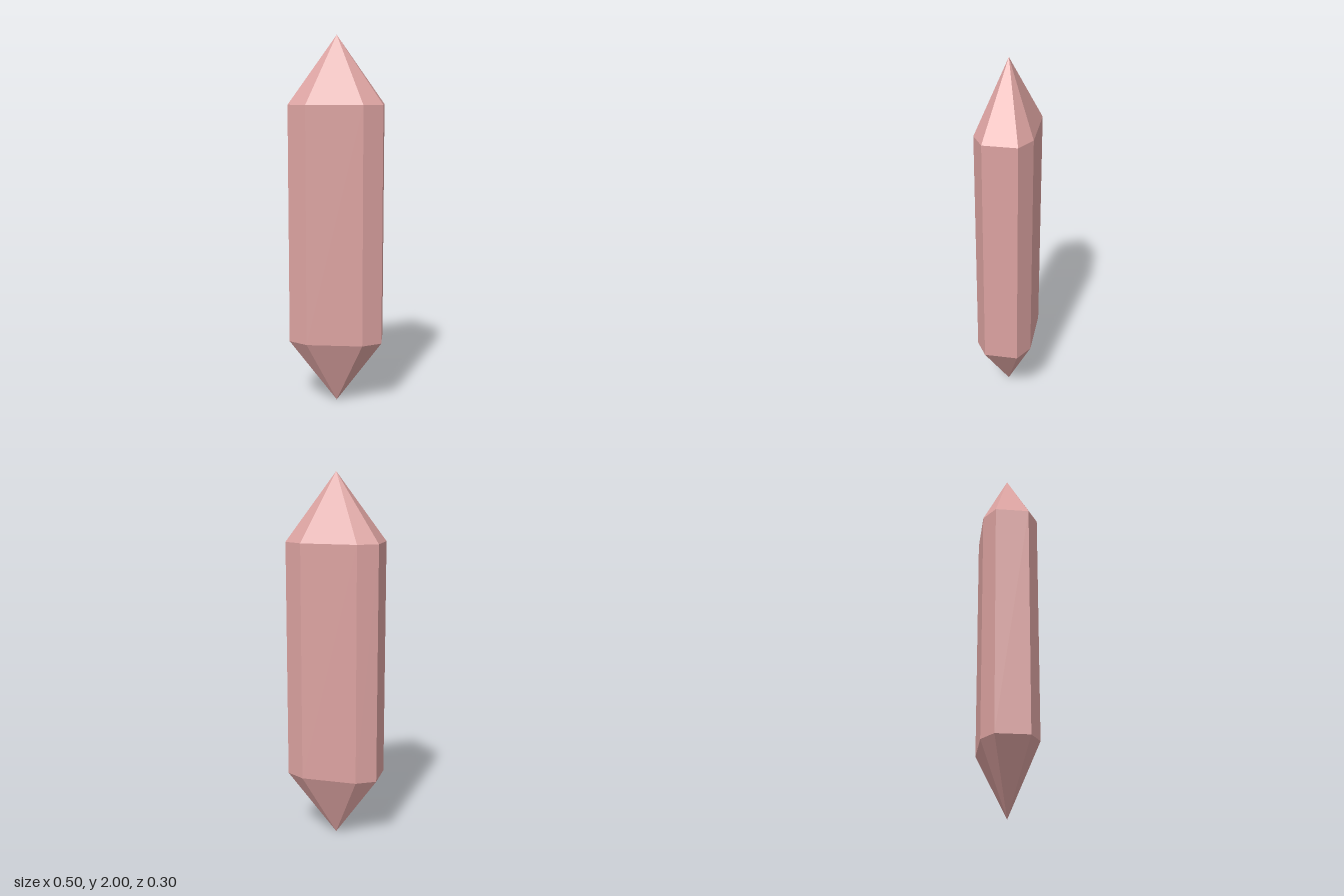
import * as THREE from 'three';

// Elongated eight-sided outline (x, z), going round from +x towards +z
const quarter = [[0.25, 0.09], [0.15, 0.15]];
const half = [...quarter, ...quarter.map(([x, z]) => [-x, z]).reverse()];
const outline = [...half, ...half.map(([x, z]) => [-x, -z])];

// Faceted band between two scaled copies of the outline; scale 0 gives a point
function facetBand(y0, s0, y1, s1) {
  const positions = [];
  outline.forEach((a, i) => {
    const b = outline[(i + 1) % outline.length];
    const low = ([x, z]) => [x * s0, y0, z * s0];
    const high = ([x, z]) => [x * s1, y1, z * s1];
    if (s0 > 0) positions.push(...low(b), ...low(a), ...high(a));
    if (s1 > 0) positions.push(...low(b), ...high(a), ...high(b));
    else return;
  });
  const geometry = new THREE.BufferGeometry();
  geometry.setAttribute('position', new THREE.Float32BufferAttribute(positions, 3));
  geometry.computeVertexNormals();
  return geometry;
}

export function createModel() {
  const group = new THREE.Group();
  group.name = 'crystal';

  const rose = new THREE.MeshStandardMaterial({ color: 0xdba2a0 });
  rose.name = 'rose crystal';

  const add = (name, ...band) => {
    const mesh = new THREE.Mesh(facetBand(...band), rose);
    mesh.name = name;
    group.add(mesh);
  };

  // Lower point, straight shaft and upper point
  add('lowerPoint', 0, 0, 0.36, 1);
  add('shaft', 0.36, 1, 1.64, 1);
  add('upperPoint', 1.64, 1, 2, 0);

  return group;
}
